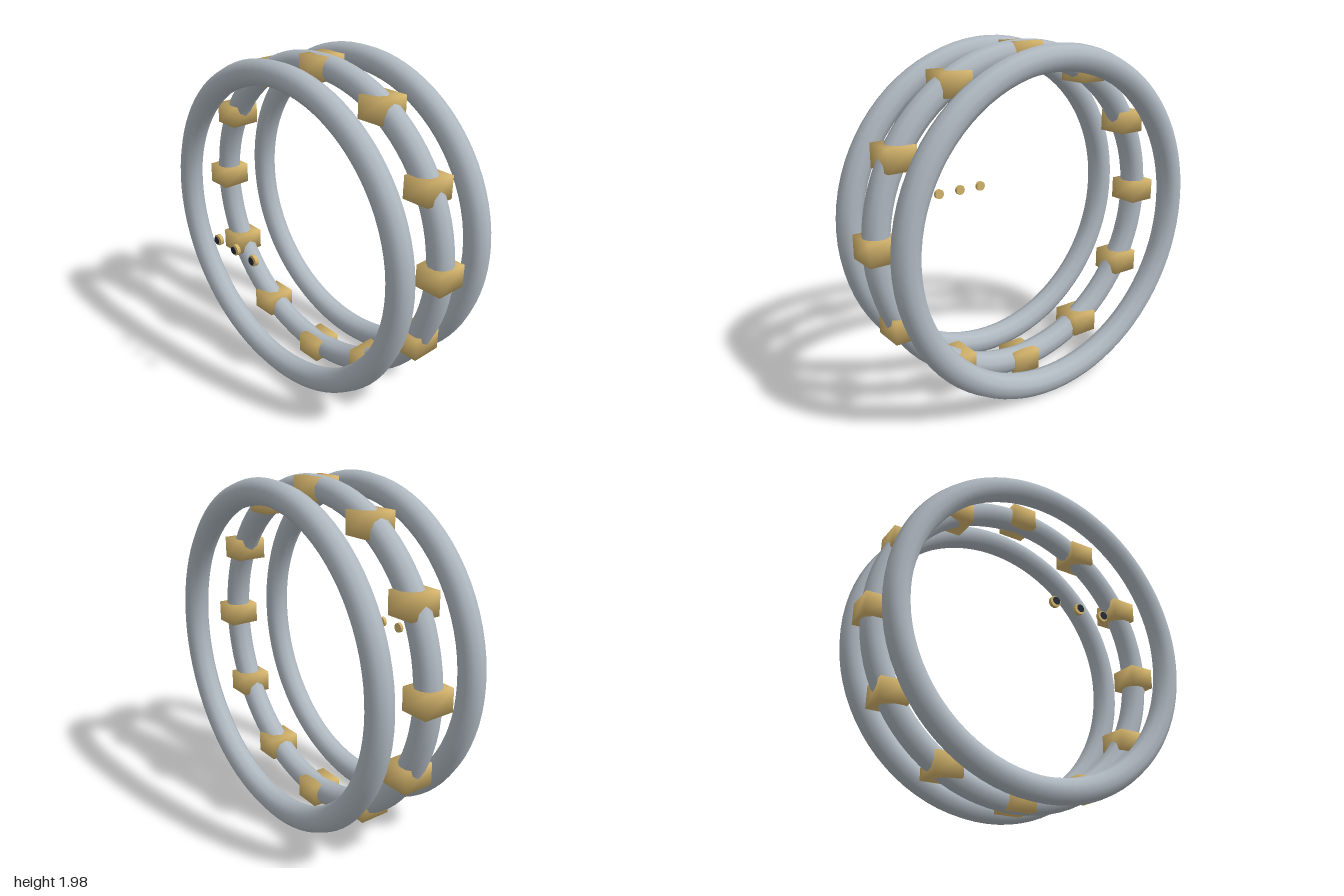
import * as THREE from 'three';
import { mergeVertices } from 'three/addons/utils/BufferGeometryUtils.js';

const R = 0.9174, TUBE = 0.0734, CY = 1.0;

// Box whose corners share normals, for soft shading
function softBox(w, h, d) {
  const box = new THREE.BoxGeometry(w, h, d);
  box.deleteAttribute('normal');
  box.deleteAttribute('uv');
  const g = mergeVertices(box);
  g.computeVertexNormals();
  return g;
}

export function createModel() {
  const steel = new THREE.MeshStandardMaterial({ name: 'greySteel', color: 0xb0b9c1 });
  const gold = new THREE.MeshStandardMaterial({ name: 'paleGold', color: 0xd4b46c });
  const dark = new THREE.MeshStandardMaterial({ name: 'darkGlass', color: 0x252b36 });

  const model = new THREE.Group();
  model.name = 'ringAssembly';
  const add = (name, geometry, material, x, y, z) => {
    const mesh = new THREE.Mesh(geometry, material);
    mesh.name = name;
    mesh.position.set(x, y, z);
    model.add(mesh);
    return mesh;
  };

  // Three upright rings
  const ring = new THREE.TorusGeometry(R, TUBE, 10, 80);
  const ringZ = { frontRing: 0.171, middleRing: -0.134, backRing: -0.44 };
  for (const [name, z] of Object.entries(ringZ)) add(name, ring, steel, 0, CY, z);

  // Twelve level blocks around the middle ring
  const block = softBox(0.165, 0.1285, 0.1835);
  for (let i = 0; i < 12; i++) {
    const a = (i * Math.PI) / 6;
    add('ringBlock' + (i + 1), block, gold, R * Math.cos(a), CY + R * Math.sin(a), ringZ.middleRing);
  }

  // Three small floating lamps with dark faces
  const lamp = new THREE.CylinderGeometry(0.031, 0.031, 0.02, 16).rotateX(Math.PI / 2);
  const lens = new THREE.CircleGeometry(0.023, 16);
  [-0.158, 0, 0.158].forEach((x, i) => {
    add('lampBody' + (i + 1), lamp, gold, x, CY, 0.492);
    add('lampLens' + (i + 1), lens, dark, x, CY, 0.51);
  });

  return model;
}
